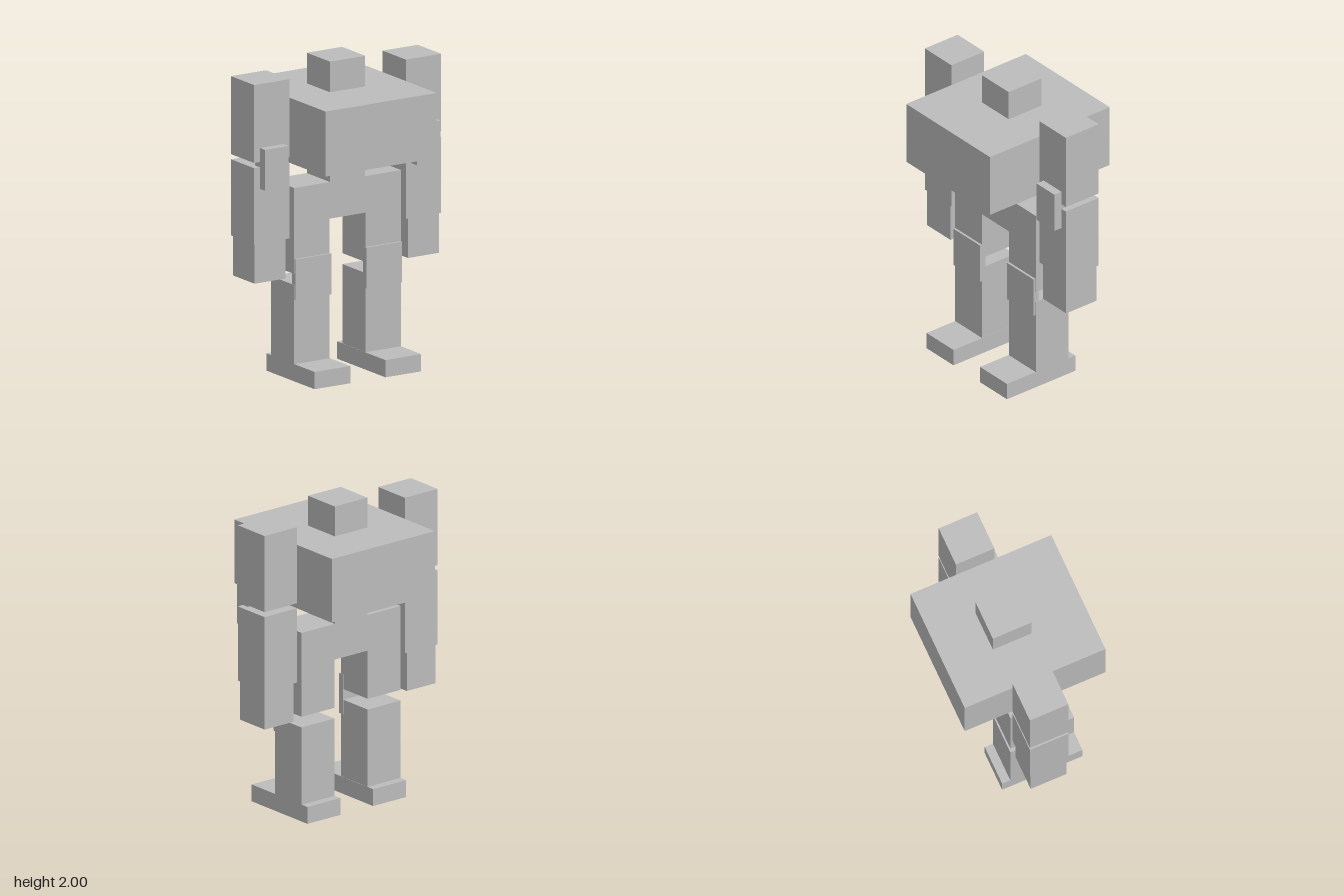
import * as THREE from 'three';

export function createModel() {
  const model = new THREE.Group();
  model.name = 'blockRobot';
  const grey = new THREE.MeshStandardMaterial({ color: 0xbcbcbc });
  grey.name = 'grey';

  const BACK = -0.16, FRONT = 0.1; // shared depth of the limbs

  // Box given by its limits on each axis
  function block(name, [x0, x1], [y0, y1], [z0, z1] = [BACK, FRONT]) {
    const mesh = new THREE.Mesh(new THREE.BoxGeometry(x1 - x0, y1 - y0, z1 - z0), grey);
    mesh.position.set((x0 + x1) / 2, (y0 + y1) / 2, (z0 + z1) / 2);
    mesh.name = name;
    model.add(mesh);
  }

  // The same block on both sides of the body
  function pair(name, [x0, x1], y, z) {
    block(name + 'Left', [x0, x1], y, z);
    block(name + 'Right', [-x1, -x0], y, z);
  }

  block('head', [-0.13, 0.13], [1.805, 2]);
  block('torso', [-0.41, 0.41], [1.39, 1.805], [-0.475, 0.475]);

  // Waist, hips and thighs in one piece
  const half = [[0.13, 1.39], [0.13, 1.233], [0.395, 1.233], [0.395, 0.685], [0.132, 0.685], [0.132, 1]];
  const outline = [...half, ...half.map(([x, y]) => [-x, y]).reverse()];
  const shape = new THREE.Shape(outline.map(([x, y]) => new THREE.Vector2(x, y)));
  const hips = new THREE.Mesh(
    new THREE.ExtrudeGeometry(shape, { depth: FRONT - BACK, bevelEnabled: false }), grey);
  hips.position.z = BACK;
  hips.name = 'waistAndThighs';
  model.add(hips);

  // Legs
  pair('kneePlate', [0.13, 0.393], [0.52, 0.78], [0.075, 0.115]);
  pair('shin', [0.132, 0.395], [0.11, 0.615]);
  pair('foot', [0.13, 0.393], [0, 0.11], [-0.215, 0.327]);

  // Arms
  pair('upperArm', [0.43, 0.69], [1.435, 1.932]);
  pair('elbowPlate', [0.473, 0.648], [1.265, 1.525], [0.045, 0.157]);
  pair('forearm', [0.43, 0.69], [0.917, 1.402]);
  pair('hand', [0.452, 0.68], [0.662, 0.917], [-0.15, 0.09]);

  return model;
}
